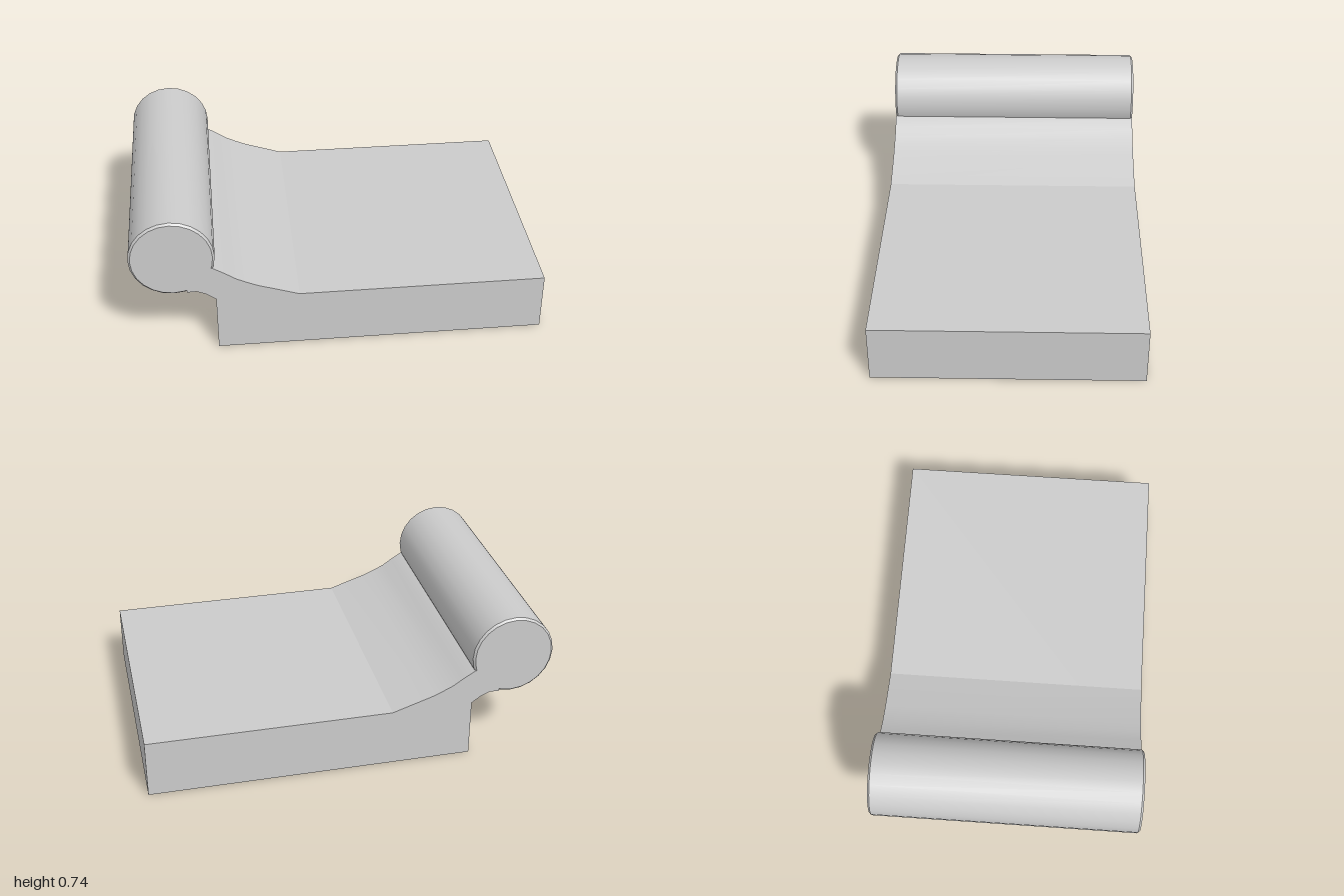
import * as THREE from 'three';
import { toCreasedNormals } from 'three/addons/utils/BufferGeometryUtils.js';

const HALF = 0.655; // half depth along z

export function createModel() {
  const model = new THREE.Group();
  const material = new THREE.MeshStandardMaterial({ color: 0xcccccc });
  const add = (name, geometry) => {
    const mesh = new THREE.Mesh(geometry, material);
    mesh.name = name;
    model.add(mesh);
    return mesh;
  };

  // Flat slab standing on the ground
  add('baseSlab', new THREE.BoxGeometry(1.6, 0.292, HALF * 2)).position.set(0.2, 0.146, 0);

  // Curved neck rising from the slab into the roll
  const neck = new THREE.Shape([
    [-0.2, 0.292], [-0.4, 0.358], [-0.45, 0.38], [-0.5, 0.404], [-0.55, 0.438], [-0.605, 0.472],
    [-0.65, 0.49], [-0.74, 0.38],
    [-0.735, 0.342], [-0.69, 0.344], [-0.645, 0.325], [-0.6, 0.292],
  ].map(([x, y]) => new THREE.Vector2(x, y)));
  const neckGeometry = new THREE.ExtrudeGeometry(neck, { depth: HALF * 2, bevelEnabled: false });
  neckGeometry.translate(0, 0, -HALF);
  add('neck', toCreasedNormals(neckGeometry, 0.5));

  // Round roll with slightly chamfered ends
  const r = 0.2025, c = 0.01;
  const profile = [
    [0, -HALF], [r - c, -HALF], [r, -HALF + c], [r, HALF - c], [r - c, HALF], [0, HALF],
  ].map(([x, y]) => new THREE.Vector2(x, y));
  const rollGeometry = toCreasedNormals(new THREE.LatheGeometry(profile, 24), 0.5);
  rollGeometry.rotateX(Math.PI / 2);
  add('roll', rollGeometry).position.set(-0.7975, 0.5375, 0);

  return model;
}
